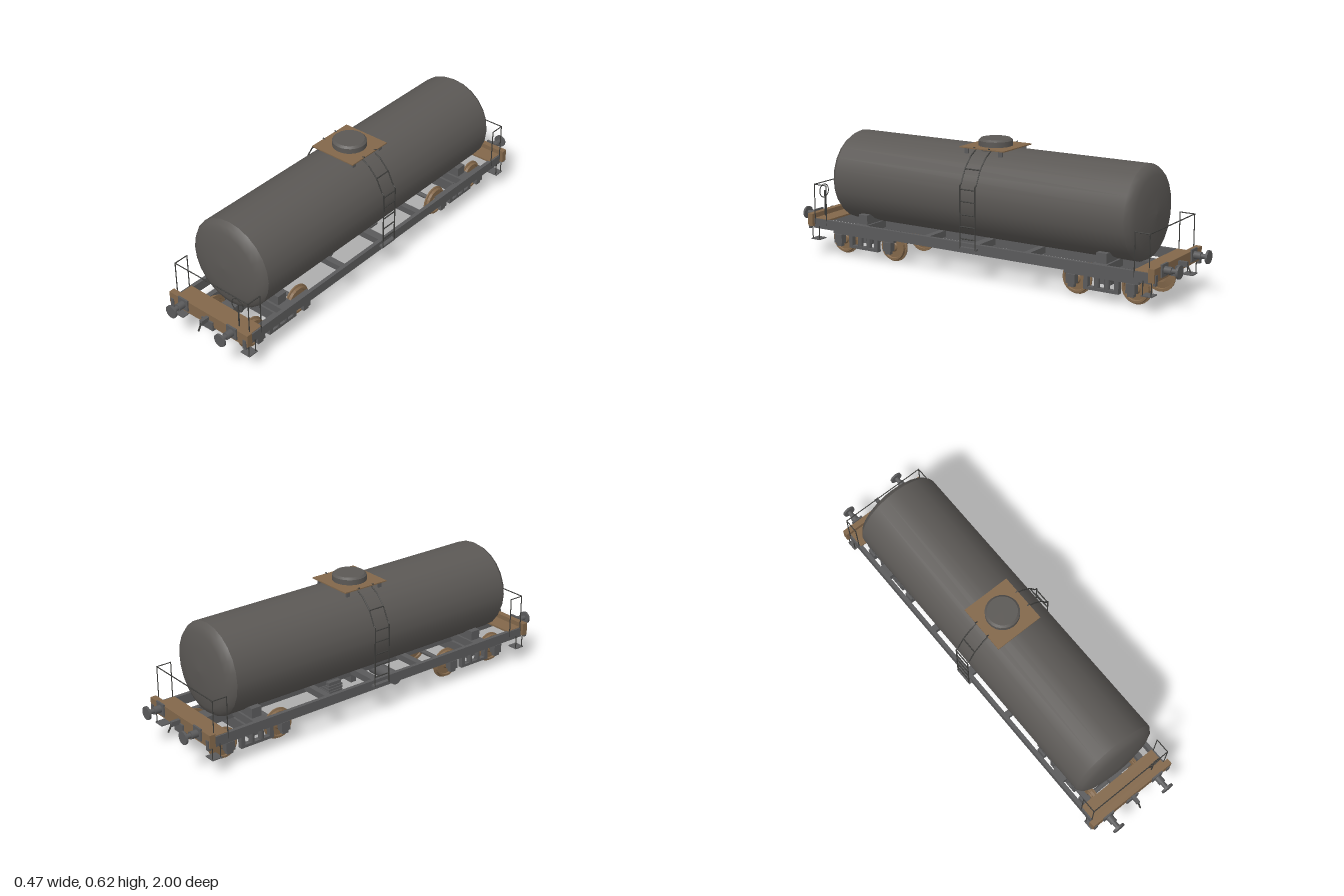
import * as THREE from 'three';

const mat = (name, color, side = THREE.FrontSide) => {
  const m = new THREE.MeshStandardMaterial({ color, side });
  m.name = name;
  return m;
};

export function createModel() {
  const root = new THREE.Group();
  root.name = 'tankWagon';
  const tankGrey = mat('tankGrey', 0x5b5855);
  const metal = mat('frameGrey', 0x5a5a5b);
  const rust = mat('rustBrown', 0x82674a);
  const dark = mat('railDark', 0x3c3c3a);

  const add = (parent, name, geo, m, x = 0, y = 0, z = 0) => {
    const mesh = new THREE.Mesh(geo, m);
    mesh.name = name;
    mesh.position.set(x, y, z);
    parent.add(mesh);
    return mesh;
  };
  const group = (name, parent = root) => {
    const g = new THREE.Group();
    g.name = name;
    parent.add(g);
    return g;
  };
  // Box given by its min and max limits on each axis
  const box = (p, name, m, x0, x1, y0, y1, z0, z1) =>
    add(p, name, new THREE.BoxGeometry(x1 - x0, y1 - y0, z1 - z0), m,
      (x0 + x1) / 2, (y0 + y1) / 2, (z0 + z1) / 2);
  const cylX = (p, name, m, r, len, x, y, z, n = 20) =>
    add(p, name, new THREE.CylinderGeometry(r, r, len, n).rotateZ(Math.PI / 2), m, x, y, z);
  const cylZ = (p, name, m, r, len, x, y, z, n = 20) =>
    add(p, name, new THREE.CylinderGeometry(r, r, len, n).rotateX(Math.PI / 2), m, x, y, z);
  // Chain of thin straight bars through the points
  const rod = (p, name, pts, r, m = dark) => {
    for (let i = 1; i < pts.length; i++) {
      const a = new THREE.Vector3(...pts[i - 1]), b = new THREE.Vector3(...pts[i]);
      const d = b.clone().sub(a);
      const bar = add(p, name, new THREE.CylinderGeometry(r, r, d.length() + r, 6), m);
      bar.position.copy(a).add(b).multiplyScalar(0.5);
      bar.quaternion.setFromUnitVectors(new THREE.Vector3(0, 1, 0), d.normalize());
    }
  };
  const lathe = (pts, n) => new THREE.LatheGeometry(pts.map(q => new THREE.Vector2(...q)), n);

  // Tank shell with dished ends
  const tank = group('tank');
  add(tank, 'tankShell', new THREE.CylinderGeometry(0.212, 0.212, 1.53, 24, 1, true)
    .rotateX(Math.PI / 2), tankGrey, 0, 0.375, 0);
  for (const s of [1, -1]) {
    const head = add(tank, 'tankEnd', lathe([[0.212, 0.765], [0.198, 0.785], [0.168, 0.799],
      [0.1, 0.812], [0, 0.817]], 24).rotateX(Math.PI / 2), tankGrey, 0, 0.375, 0);
    if (s < 0) head.rotation.y = Math.PI;
  }

  // Filling hatch and its walkway
  add(root, 'hatch', new THREE.CylinderGeometry(0.078, 0.078, 0.045, 24), tankGrey, 0, 0.5925, 0);
  add(root, 'hatchLid', new THREE.CylinderGeometry(0.068, 0.078, 0.009, 24), tankGrey, 0, 0.6195, 0);
  box(root, 'hatchPlatform', rust, -0.118, 0.118, 0.586, 0.591, -0.118, 0.118);
  for (const sx of [1, -1]) for (const z of [-0.09, 0.09])
    box(root, 'platformBracket', metal, sx * 0.1 - 0.004, sx * 0.1 + 0.004, 0.553, 0.587, z - 0.01, z + 0.01);

  // Side ladders following the tank
  for (const s of [1, -1]) {
    const ladder = group('ladder');
    const path = [[0.232, 0.155], [0.232, 0.44], [0.221, 0.447], [0.19, 0.51], [0.145, 0.558], [0.098, 0.584], [0.12, 0.594]];
    for (const z of [-0.04, 0.04])
      rod(ladder, 'ladderRail', path.map(([x, y]) => [s * x, y, z]), 0.003);
    for (const [x, y] of [[0.232, 0.2], [0.232, 0.255], [0.232, 0.31], [0.232, 0.37], [0.232, 0.425], [0.19, 0.51]])
      rod(ladder, 'ladderRung', [[s * x, y, -0.04], [s * x, y, 0.04]], 0.003);
    box(ladder, 'ladderFoot', metal, s * 0.222 - 0.012, s * 0.222 + 0.012, 0.15, 0.16, -0.045, 0.045);
  }

  // Underframe
  const frame = group('underframe');
  for (const s of [1, -1]) {
    box(frame, 'sideSill', metal, s * 0.206 - 0.009, s * 0.206 + 0.009, 0.13, 0.176, -0.9, 0.9);
    box(frame, 'saddle', metal, -0.165, 0.165, 0.13, 0.215, s * 0.64 - 0.025, s * 0.64 + 0.025);
    box(frame, 'bolsterBeam', metal, -0.2, 0.2, 0.135, 0.17, s * 0.64 - 0.035, s * 0.64 + 0.035);
    box(frame, 'crossBeam', metal, -0.2, 0.2, 0.135, 0.165, s * 0.27 - 0.015, s * 0.27 + 0.015);
  }
  box(frame, 'centreSill', metal, -0.033, 0.033, 0.125, 0.17, -0.9, 0.9);
  box(frame, 'middleBeam', metal, -0.2, 0.2, 0.135, 0.165, -0.02, 0.02);

  // Brake gear under the middle
  const brakes = group('brakeGear');
  cylX(brakes, 'airReservoir', metal, 0.031, 0.165, -0.058, 0.099, 0.165);
  box(brakes, 'brakeValve', metal, -0.03, 0.03, 0.09, 0.135, -0.015, 0.015);
  for (let i = 0; i < 4; i++)
    box(brakes, 'brakeBoxRib', metal, -0.06, 0.03, 0.073 + i * 0.014, 0.083 + i * 0.014, -0.168, -0.09);
  box(brakes, 'brakeBox', metal, -0.055, 0.025, 0.073, 0.14, -0.163, -0.095);

  // Both ends: beam, deck, buffers, coupling, railing and steps
  const buildEnd = () => {
    const end = group('wagonEnd');
    box(end, 'bufferBeam', rust, -0.23, 0.23, 0.14, 0.2, 0.895, 0.923);
    box(end, 'endDeck', rust, -0.208, 0.208, 0.17, 0.178, 0.815, 0.895);
    box(end, 'couplerPocket', metal, -0.033, 0.033, 0.125, 0.17, 0.9, 0.93);
    box(end, 'couplingHook', metal, -0.008, 0.008, 0.165, 0.187, 0.92, 0.965);
    rod(end, 'couplingLink', [[0, 0.178, 0.96], [0, 0.143, 0.98]], 0.004);
    for (const s of [1, -1]) {
      box(end, 'bufferBase', metal, s * 0.143 - 0.028, s * 0.143 + 0.028, 0.152, 0.208, 0.922, 0.93);
      cylZ(end, 'bufferSleeve', metal, 0.017, 0.035, s * 0.143, 0.18, 0.945);
      cylZ(end, 'bufferStem', metal, 0.011, 0.035, s * 0.143, 0.18, 0.975);
      cylZ(end, 'bufferHead', metal, 0.03, 0.01, s * 0.143, 0.18, 0.995);
      box(end, 'stepBracket', metal, s * 0.213 - 0.009, s * 0.213 + 0.009, 0.126, 0.172, 0.915, 0.927);
      for (const z of [0.865, 0.905])
        rod(end, 'stepHanger', [[s * 0.217, 0.14, z], [s * 0.217, 0.077, z]], 0.0025);
      box(end, 'step', metal, s * 0.198 - 0.026, s * 0.198 + 0.026, 0.0745, 0.079, 0.86, 0.91);
      rod(end, 'railingSide', [[s * 0.213, 0.15, 0.822], [s * 0.213, 0.343, 0.822],
        [s * 0.213, 0.343, 0.892], [s * 0.213, 0.15, 0.892]], 0.0025);
    }
    rod(end, 'railingBar', [[-0.213, 0.343, 0.892], [0.213, 0.343, 0.892]], 0.0025);
    return end;
  };
  buildEnd();
  buildEnd().rotation.y = Math.PI;

  // Handbrake wheel at the front end only
  const hand = group('handbrake');
  add(hand, 'handWheel', new THREE.TorusGeometry(0.032, 0.0022, 6, 24), dark, 0.147, 0.301, 0.888);
  rod(hand, 'handWheelStem', [[0.147, 0.175, 0.884], [0.147, 0.301, 0.884]], 0.0035);

  // Bogies with two wheelsets each
  const wheelGeo = lathe([[0, -0.004], [0.03, -0.007], [0.058, -0.003], [0.06, -0.01], [0.073, -0.01], [0.073, -0.004],
    [0.066, -0.001], [0.064, 0.011], [0.055, 0.011], [0.052, 0.005], [0.025, 0.005], [0.02, 0.011], [0, 0.011]], 24)
    .toNonIndexed().rotateZ(-Math.PI / 2);
  wheelGeo.computeVertexNormals();
  for (const zc of [0.64, -0.64]) {
    const bogie = group('bogie');
    bogie.position.z = zc;
    box(bogie, 'bogieBolster', metal, -0.145, 0.145, 0.073, 0.125, -0.035, 0.035);
    cylX(bogie, 'bolsterPivot', metal, 0.02, 0.06, 0, 0.13, 0);
    for (const z of [-0.145, 0.145]) {
      cylX(bogie, 'axle', metal, 0.011, 0.3, 0, 0.073, z, 12);
      for (const s of [1, -1]) {
        const wheel = add(bogie, 'wheel', wheelGeo, rust, s * 0.119, 0.073, z);
        if (s < 0) wheel.rotation.y = Math.PI;
        box(bogie, 'axleBox', metal, s * 0.16 - 0.016, s * 0.16 + 0.016, 0.06, 0.103, z - 0.022, z + 0.022);
        box(bogie, 'axleBoxFoot', metal, s * 0.16 - 0.011, s * 0.16 + 0.011, 0.045, 0.06, z - 0.015, z + 0.015);
      }
    }
    for (const s of [1, -1]) {
      const x0 = s * 0.155 - 0.012, x1 = s * 0.155 + 0.012;
      box(bogie, 'sideFrameTop', metal, x0, x1, 0.103, 0.124, -0.18, 0.18);
      box(bogie, 'sideFrameBottom', metal, x0, x1, 0.045, 0.058, -0.085, 0.085);
      for (const z of [-0.075, 0.075])
        box(bogie, 'sideFramePost', metal, x0, x1, 0.05, 0.11, z - 0.01, z + 0.01);
      for (const z of [-0.025, 0.025])
        add(bogie, 'spring', new THREE.CylinderGeometry(0.013, 0.013, 0.05, 12), metal, s * 0.155, 0.08, z);
    }
  }
  return root;
}
